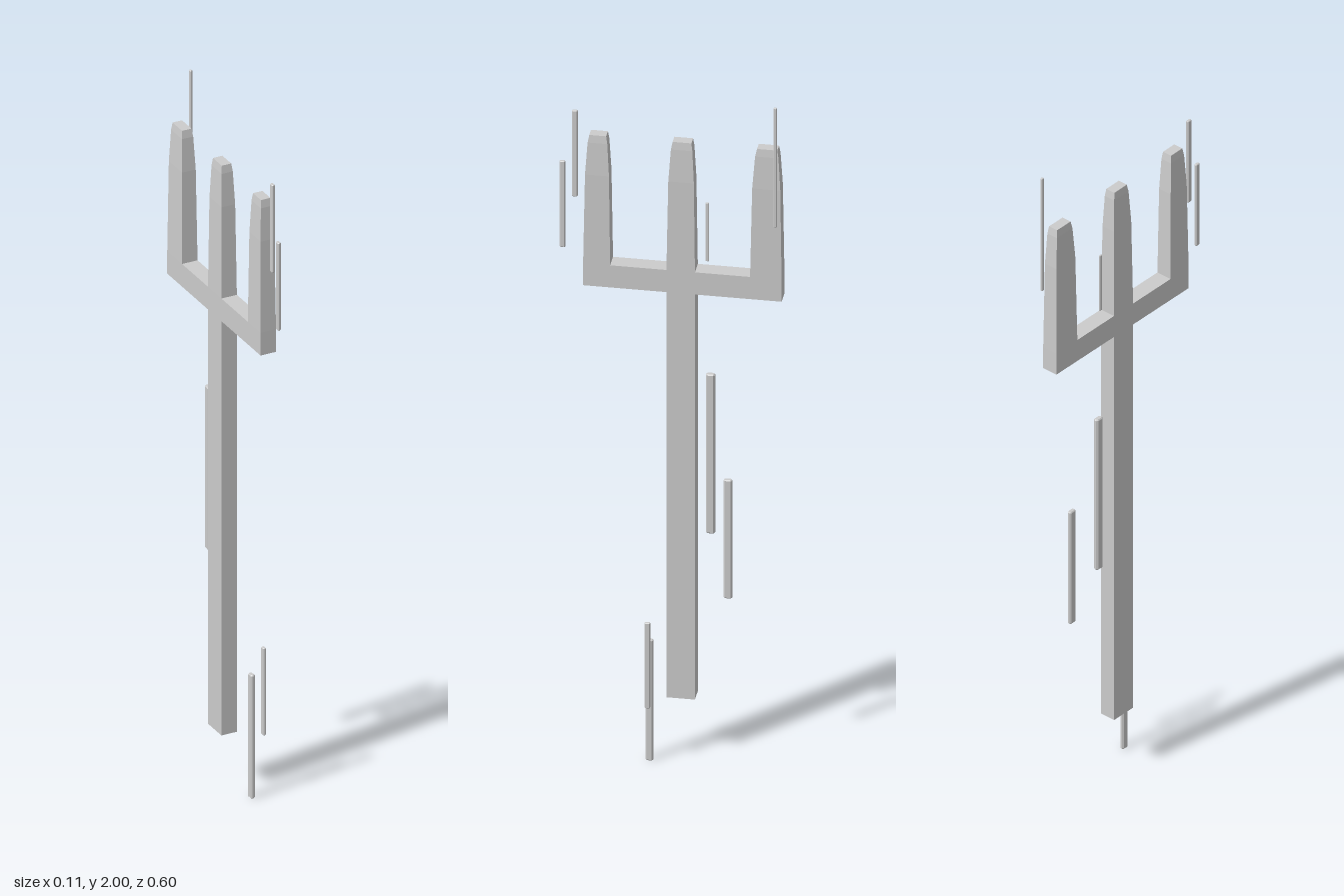
import * as THREE from 'three';

const material = new THREE.MeshStandardMaterial({ color: 0xcccccc, flatShading: true, side: THREE.DoubleSide });
const X = -0.032, DEPTH = 0.046;

function add(group, name, geometry) {
  const mesh = new THREE.Mesh(geometry, material);
  mesh.name = name;
  group.add(mesh);
  return mesh;
}

// Tapered prong: a box whose height rings shrink toward the tip
function prongGeometry(z0, z1, t0, t1) {
  const heights = [1.473, 1.74, 1.835, 1.857];
  const taper = [0, 0.3, 0.72, 1];
  const geo = new THREE.BoxGeometry(1, 3, 1, 1, 3, 1);
  const p = geo.attributes.position;
  for (let i = 0; i < p.count; i++) {
    const ring = Math.round(p.getY(i) + 1.5);
    const t = taper[ring];
    const half = THREE.MathUtils.lerp(DEPTH / 2, 0.014, t);
    const z = p.getZ(i) < 0 ? THREE.MathUtils.lerp(z0, t0, t) : THREE.MathUtils.lerp(z1, t1, t);
    p.setXYZ(i, X + Math.sign(p.getX(i)) * half, heights[ring], z);
  }
  geo.computeVertexNormals();
  return geo;
}

// Thin rod with an oblong section and slightly bevelled ends
function rodGeometry(rx, rz, y0, y1) {
  const b = rx * 0.4;
  const profile = [[0, y0], [rx * 0.65, y0], [rx, y0 + b], [rx, y1 - b], [rx * 0.65, y1], [0, y1]];
  const geo = new THREE.LatheGeometry(profile.map(([r, y]) => new THREE.Vector2(r, y)), 8, Math.PI / 8);
  const p = geo.attributes.position;
  for (let i = 0; i < p.count; i++) {
    const z = p.getZ(i);
    if (Math.abs(z) > 1e-6) p.setZ(i, z + Math.sign(z) * (rz - rx));
  }
  geo.computeVertexNormals();
  return geo;
}

export function createModel() {
  const model = new THREE.Group();
  model.name = 'trident';

  // Shaft and crossbar as one T-shaped outline, drawn in (-z, y)
  const outline = [[-0.008, 0.18], [0.068, 0.18], [0.068, 1.406], [0.299, 1.406],
    [0.299, 1.473], [-0.23, 1.473], [-0.23, 1.406], [-0.008, 1.406]];
  const shape = new THREE.Shape(outline.map(([u, v]) => new THREE.Vector2(u, v)));
  const body = new THREE.ExtrudeGeometry(shape, { depth: DEPTH, bevelEnabled: false });
  body.translate(0, 0, -DEPTH / 2);
  body.rotateY(Math.PI / 2);
  body.translate(X, 0, 0);
  add(model, 'shaftAndCrossbar', body);

  // Three prongs: base z range, tip z range
  [['backProng', -0.299, -0.215, -0.286, -0.232],
    ['middleProng', -0.068, 0.008, -0.057, -0.007],
    ['frontProng', 0.158, 0.23, 0.17, 0.215],
  ].forEach(([name, ...range]) => add(model, name, prongGeometry(...range)));

  // Loose upright rods around the trident: x, z, half sizes, bottom, top
  [[0.007, -0.285, 0.004, 0.005, 1.64, 2.0],
    [0.013, -0.16, 0.007, 0.012, 0.51, 0.868],
    [-0.033, -0.097, 0.003, 0.005, 1.497, 1.673],
    [0.013, 0.049, 0.007, 0.011, 0, 0.365],
    [0.049, 0.049, 0.005, 0.008, 0.177, 0.435],
    [-0.033, 0.256, 0.005, 0.008, 1.66, 1.92],
    [-0.033, 0.289, 0.005, 0.008, 1.504, 1.764],
    [-0.033, -0.106, 0.008, 0.013, 0.676, 1.157],
  ].forEach(([x, z, rx, rz, y0, y1], i) => {
    add(model, `floatingRod${i + 1}`, rodGeometry(rx, rz, y0, y1)).position.set(x, 0, z);
  });

  return model;
}
